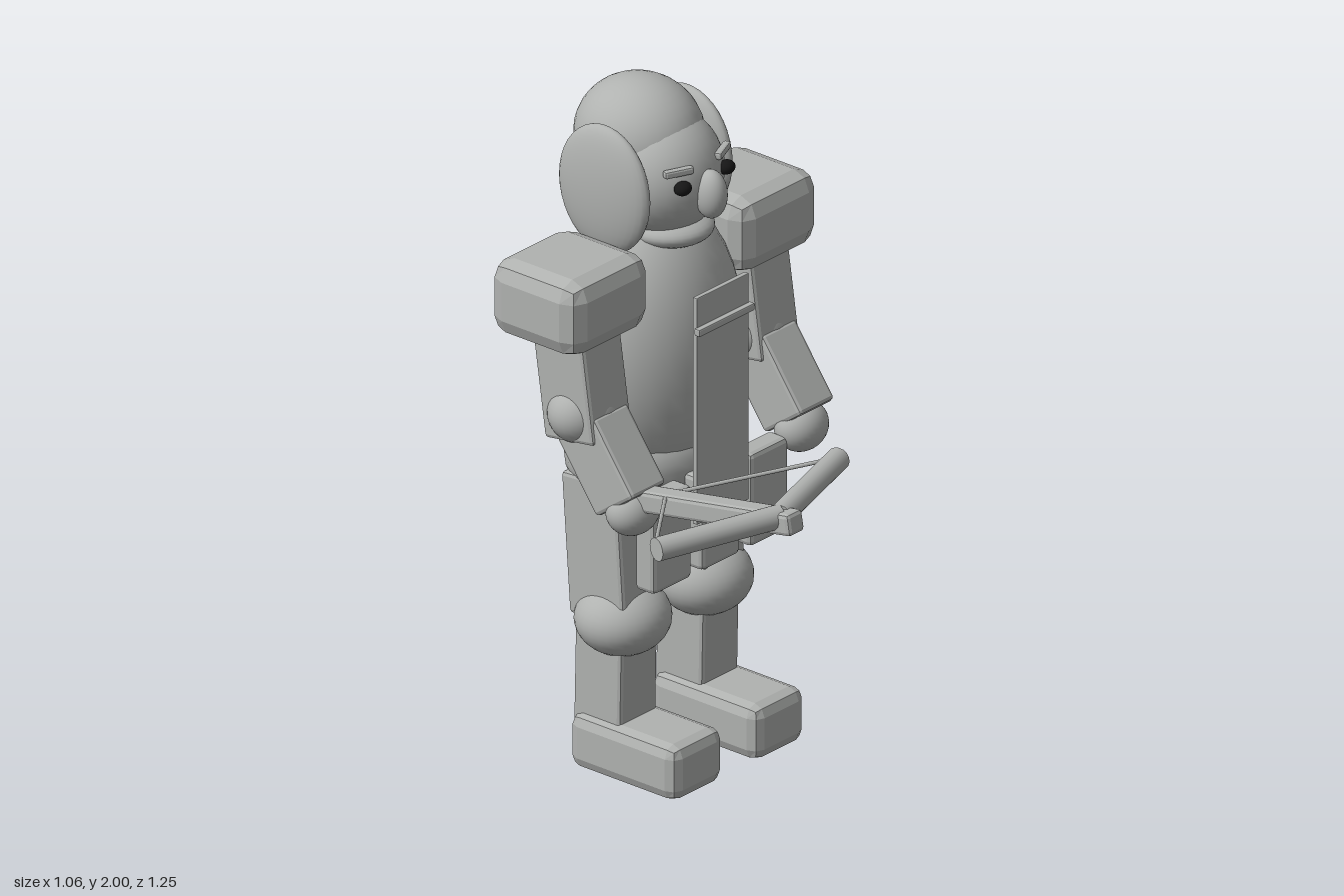
import * as THREE from 'three';
import { RoundedBoxGeometry } from 'three/addons/geometries/RoundedBoxGeometry.js';

const stone = new THREE.MeshStandardMaterial({ color: 0xb0b2b0 });
stone.name = 'stone grey';
const black = new THREE.MeshStandardMaterial({ color: 0x161616 });
black.name = 'eye black';

const MID = -0.11; // z of the figure's plane of symmetry

function add(parent, name, geometry, pos, material = stone) {
  const mesh = new THREE.Mesh(geometry, material);
  mesh.name = name;
  mesh.position.set(...pos);
  parent.add(mesh);
  return mesh;
}

// Smooth ellipsoid from centre and three radii
function ellipsoid(parent, name, pos, radii, material) {
  const g = new THREE.SphereGeometry(1, 32, 20);
  g.scale(...radii);
  return add(parent, name, g, pos, material);
}

// Box with faceted bevels
function box(parent, name, pos, size, bevel = 0.012) {
  const g = new RoundedBoxGeometry(...size, 1, bevel);
  g.computeVertexNormals();
  return add(parent, name, g, pos);
}

// Box reaching from one point to another in the xy plane
function limb(parent, name, a, b, thick, wide, z, bevel) {
  const dx = b[0] - a[0], dy = b[1] - a[1];
  const m = box(parent, name, [(a[0] + b[0]) / 2, (a[1] + b[1]) / 2, z],
    [thick, Math.hypot(dx, dy), wide], bevel);
  m.rotation.z = Math.atan2(-dx, dy);
  return m;
}

// Cylinder between two points
function rod(parent, name, a, b, radius, sides) {
  const p = new THREE.Vector3(...a), q = new THREE.Vector3(...b);
  const d = q.clone().sub(p);
  const m = add(parent, name, new THREE.CylinderGeometry(radius, radius, d.length(), sides),
    p.add(q).multiplyScalar(0.5).toArray());
  m.quaternion.setFromUnitVectors(new THREE.Vector3(0, 1, 0), d.normalize());
  return m;
}

function buildBody(root) {
  const g = new THREE.Group();
  g.name = 'body';
  g.position.z = MID;
  root.add(g);
  ellipsoid(g, 'torso', [-0.293, 1.225, 0], [0.238, 0.43, 0.275]);
  ellipsoid(g, 'hips', [-0.3, 0.905, 0], [0.207, 0.16, 0.265]);

  // Tabard with cross strap, and the hanging skirt plates
  box(g, 'tabard', [-0.042, 1.117, 0], [0.016, 0.685, 0.218], 0.003);
  box(g, 'tabardStrap', [-0.028, 1.36, 0], [0.02, 0.022, 0.232], 0.004);
  for (const s of [-1, 0, 1])
    box(g, 'skirtPlate', [-0.074, 0.76, s * 0.202], [0.07, 0.28, 0.162], 0.014);
}

function buildHead(root) {
  const g = new THREE.Group();
  g.name = 'head';
  g.position.z = MID;
  root.add(g);
  ellipsoid(g, 'hairCap', [-0.335, 1.83, 0], [0.187, 0.17, 0.173]);
  ellipsoid(g, 'face', [-0.253, 1.745, 0], [0.17, 0.18, 0.175]);
  ellipsoid(g, 'chin', [-0.235, 1.59, 0], [0.135, 0.052, 0.125]);
  ellipsoid(g, 'nose', [-0.078, 1.725, 0], [0.05, 0.072, 0.042]);
  for (const s of [-1, 1]) {
    ellipsoid(g, 'sideHair', [-0.312, 1.73, s * 0.172], [0.16, 0.19, 0.046]);
    ellipsoid(g, 'eye', [-0.1, 1.766, s * 0.091], [0.023, 0.02, 0.027], black);
    const brow = box(g, 'brow', [-0.115, 1.811, s * 0.092], [0.022, 0.022, 0.088], 0.006);
    brow.rotation.y = -s * 0.4;
  }
}

function buildLimbs(root) {
  for (const s of [-1, 1]) {
    // Arm with block shoulder and ball joints
    const arm = new THREE.Group();
    arm.name = 'arm';
    arm.position.z = MID + s * 0.352;
    root.add(arm);
    box(arm, 'shoulder', [-0.282, 1.488, 0], [0.318, 0.226, 0.332], 0.055);
    limb(arm, 'upperArm', [-0.275, 1.5], [-0.215, 1.085], 0.18, 0.165, 0);
    ellipsoid(arm, 'elbow', [-0.228, 1.155, 0], [0.095, 0.095, 0.115]);
    limb(arm, 'forearm', [-0.205, 1.13], [-0.06, 0.93], 0.165, 0.145, 0);
    ellipsoid(arm, 'hand', [-0.055, 0.905, 0], [0.07, 0.073, 0.083]);

    // Leg
    const leg = new THREE.Group();
    leg.name = 'leg';
    leg.position.z = MID + s * 0.171;
    root.add(leg);
    limb(leg, 'thigh', [-0.3, 0.885], [-0.27, 0.465], 0.2, 0.17, 0);
    ellipsoid(leg, 'knee', [-0.247, 0.458, 0], [0.133, 0.107, 0.138]);
    limb(leg, 'shin', [-0.27, 0.46], [-0.277, 0.12], 0.17, 0.155, 0);
    box(leg, 'foot', [-0.163, 0.087, 0], [0.386, 0.165, 0.212], 0.035);
  }
}

function buildCrossbow(root) {
  const g = new THREE.Group();
  g.name = 'crossbow';
  root.add(g);
  const z = 0.237;
  limb(g, 'stock', [-0.17, 0.92], [0.53, 1.043], 0.065, 0.066, z, 0.012);
  for (const s of [-1, 1]) {
    rod(g, 'bowArm', [0.47, 1.045, z], [0.353, 1.045, z + s * 0.38], 0.034, 16);
    rod(g, 'bowString', [0.06, 0.983, z], [0.335, 1.043, z + s * 0.365], 0.006, 8);
  }
}

export function createModel() {
  const root = new THREE.Group();
  root.name = 'crossbowman';
  buildBody(root);
  buildHead(root);
  buildLimbs(root);
  buildCrossbow(root);
  return root;
}
